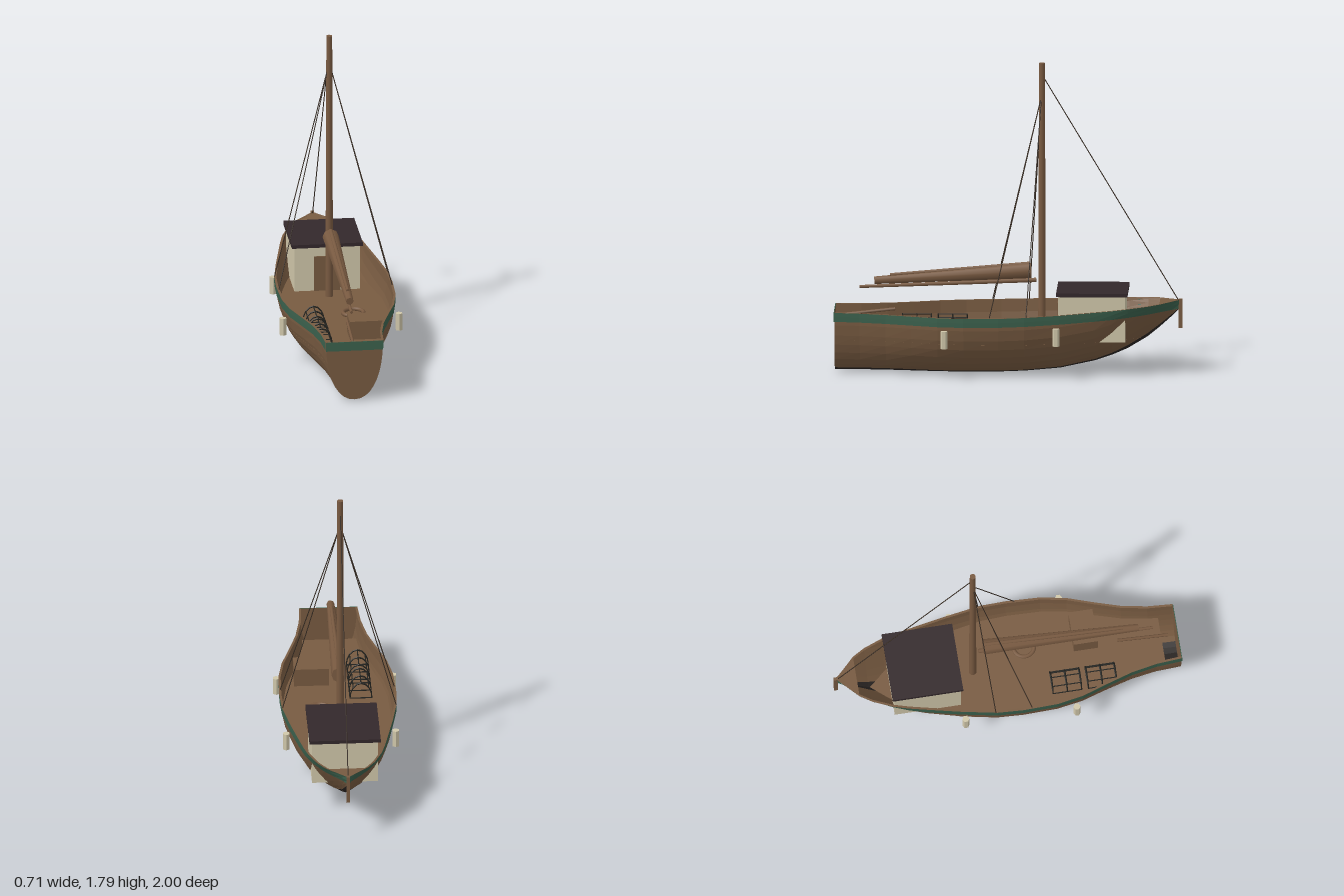
import * as THREE from 'three';

const mat = (name, color, flatShading = true, side = THREE.FrontSide) => {
  const m = new THREE.MeshStandardMaterial({ color, flatShading, side });
  m.name = name;
  return m;
};

// Hull stations: z, half beam, keel height, sheer height, roundness (2.2 = full, 1 = V)
const STATIONS = [
  [0.996, 0.165, 0.006, 0.36, 2.2], [0.85, 0.175, 0.006, 0.358, 2.2], [0.7, 0.203, 0.005, 0.356, 2.2],
  [0.55, 0.25, 0.003, 0.355, 2.2], [0.4, 0.3, 0.001, 0.355, 2.2], [0.25, 0.327, 0, 0.356, 2.2],
  [0.05, 0.334, 0.002, 0.359, 2.2], [-0.1, 0.328, 0.008, 0.364, 2.2], [-0.3, 0.293, 0.025, 0.372, 2.15],
  [-0.5, 0.252, 0.066, 0.383, 1.95], [-0.6, 0.231, 0.098, 0.389, 1.65], [-0.69, 0.208, 0.138, 0.396, 1.35],
  [-0.8, 0.163, 0.205, 0.404, 1.1], [-0.87, 0.12, 0.262, 0.41, 1], [-0.94, 0.048, 0.325, 0.415, 1],
  [-0.985, 0.004, 0.37, 0.419, 1],
];

// Half width of a station's rounded section at height y
function halfWidth([, w, keel, sheer, p], y) {
  const t = THREE.MathUtils.clamp((y - keel) / (sheer - keel), 0, 1);
  return w * Math.pow(1 - Math.pow(1 - t, p), 1 / p);
}

// Full section from the left rim, under the keel, to the right rim
const N = 9;
function section([z, w, keel, sheer, p]) {
  const pts = [];
  for (let i = -N; i <= N; i++) {
    const a = (Math.abs(i) / N) * Math.PI / 2;
    const x = w * Math.pow(Math.sin(a), 2 / p) * -Math.sign(i);
    const y = keel + (sheer - keel) * (1 - Math.pow(Math.max(Math.cos(a), 0), 2 / p));
    pts.push([x, y, z]);
  }
  return pts;
}

// Skin between successive rows of points
function loft(rows) {
  const pos = [];
  for (let i = 0; i < rows.length - 1; i++) {
    for (let j = 0; j < rows[i].length - 1; j++) {
      const a = rows[i][j], b = rows[i][j + 1], c = rows[i + 1][j], d = rows[i + 1][j + 1];
      pos.push(...a, ...b, ...c, ...b, ...d, ...c);
    }
  }
  const g = new THREE.BufferGeometry();
  g.setAttribute('position', new THREE.Float32BufferAttribute(pos, 3));
  g.computeVertexNormals();
  return g;
}

export function createModel() {
  const model = new THREE.Group();
  model.name = 'sailingBoat';
  const wood = mat('hull wood', 0x785b41, true, THREE.DoubleSide);
  const spar = mat('spar wood', 0x795a41, false);
  const tar = mat('tarred bottom', 0x2a2523, true, THREE.DoubleSide);
  const green = mat('green paint', 0x3b614d, true, THREE.DoubleSide);
  const cream = mat('cream paint', 0xd0c7aa);
  const dark = mat('dark roof', 0x33282b);
  const wire = mat('black wire', 0x23231f);
  const rope = mat('rigging rope', 0x382d24);

  const add = (name, geo, material, x = 0, y = 0, z = 0, parent = model) => {
    const m = new THREE.Mesh(geo, material);
    m.name = name;
    m.position.set(x, y, z);
    parent.add(m);
    return m;
  };
  const box = (name, material, [x0, x1], [y0, y1], [z0, z1]) =>
    add(name, new THREE.BoxGeometry(x1 - x0, y1 - y0, z1 - z0), material,
      (x0 + x1) / 2, (y0 + y1) / 2, (z0 + z1) / 2);
  // Tapered rod between two points
  const rod = (name, material, a, b, ra, rb = ra, sides = 8, parent = model) => {
    const A = new THREE.Vector3(...a), B = new THREE.Vector3(...b);
    const dir = B.clone().sub(A);
    const m = add(name, new THREE.CylinderGeometry(rb, ra, dir.length(), sides), material, 0, 0, 0, parent);
    m.position.copy(A).add(B).multiplyScalar(0.5);
    m.quaternion.setFromUnitVectors(new THREE.Vector3(0, 1, 0), dir.normalize());
  };

  // Hull sides, tarred bottom and flat transom
  const sections = STATIONS.map(section);
  const hullPart = (name, material, from, to) =>
    add(name, loft(sections.map((row) => row.slice(from, to + 1))), material);
  hullPart('leftHullSide', wood, 0, N - 2);
  hullPart('hullBottom', tar, N - 2, N + 2);
  hullPart('rightHullSide', wood, N + 2, 2 * N);
  const transom = new THREE.Shape(sections[0].map(([x, y]) => new THREE.Vector2(x, y)));
  add('transom', new THREE.ShapeGeometry(transom), wood, 0, 0, 0.996);
  box('transomBand', green, [-0.165, 0.165], [0.306, 0.36], [0.997, 1]);

  // Painted sheer strake and rim on both sides
  for (const s of [1, -1]) {
    const side = s > 0 ? 'left' : 'right';
    const strip = (name, material, profile) => add(name, loft(STATIONS.map((st) => {
      const row = profile(st).map(([x, y]) => [s * Math.max(x, 0), y, st[0]]);
      return s > 0 ? row : row.reverse();
    })), material);
    strip(side + 'SheerStrake', green, (st) => [0, 0.025, 0.052].map((d) =>
      [halfWidth(st, st[3] - d) + 0.003, st[3] - d]));
    strip(side + 'Rim', wood, (st) => [[st[1] + 0.003, st[3] + 0.001], [st[1] - 0.01, st[3] + 0.001]]);
  }

  // Deck follows the inside of the hull
  const DECK = 0.2;
  const deckStations = [[0.91, 0.17, 0.006, 0.359, 2.2], ...STATIONS.slice(1, 12),
    [-0.75, 0.184, 0.174, 0.4, 1.22], [-0.79, 0.167, 0.199, 0.403, 1.12]];
  add('deck', loft(deckStations.map((st) => [-1, 1].map((s) => [s * halfWidth(st, DECK), DECK, st[0]]))), wood);
  add('endDeck', loft(STATIONS.slice(13).map((st) => [-1, 1].map((s) => [s * st[1], st[3] - 0.004, st[0]]))), wood);
  box('stemPost', wood, [-0.009, 0.009], [0.255, 0.425], [-1, -0.978]);

  // Cabin
  box('cabin', cream, [-0.19, 0.19], [DECK, 0.466], [-0.677, -0.29]);
  box('cabinRoof', dark, [-0.205, 0.205], [0.465, 0.486], [-0.69, -0.28]);
  box('cabinDoor', wood, [-0.076, 0.076], [DECK, 0.41], [-0.291, -0.284]);

  // Mast, boom, furled sail, gaff and tiller
  rod('mast', spar, [0, DECK, -0.193], [0, 1.795, -0.193], 0.022, 0.017, 12);
  rod('boom', spar, [0, 0.53, -0.16], [0, 0.486, 0.855], 0.013, 0.009);
  rod('furledSail', spar, [0, 0.587, -0.13], [0, 0.523, 0.77], 0.047, 0.022);
  rod('gaff', spar, [0, 0.624, -0.125], [0, 0.555, 0.68], 0.013, 0.01);
  rod('tiller', spar, [0, 0.358, 0.65], [0, 0.325, 0.94], 0.009, 0.009, 6);

  // Rigging
  rod('endStay', rope, [0, 1.715, -0.2], [0, 0.42, -0.975], 0.003, 0.003, 5);
  for (const s of [1, -1])
    for (const z of [0.1, -0.11])
      rod('shroud', rope, [s * 0.008, 1.6, -0.19], [s * 0.328, 0.362, z], 0.003, 0.003, 5);

  // Fenders
  for (const s of [1, -1])
    for (const [x, y, z] of [[0.315, 0.248, -0.283], [0.336, 0.234, 0.36]])
      add('fender', new THREE.CylinderGeometry(0.021, 0.021, 0.102, 6), cream, s * x, y, z);

  // Deck gear: crate and coiled rope
  box('crate', wood, [0.03, 0.23], [DECK, 0.31], [0.4, 0.54]);
  add('ropeCoil', new THREE.TorusGeometry(0.06, 0.012, 8, 24).rotateX(Math.PI / 2), spar, 0.1, 0.21, 0.12);

  // Wire fishing pots with arched tops
  for (const zc of [0.325, 0.53]) {
    const pot = new THREE.Group();
    pot.name = 'fishingPot';
    pot.position.set(-0.145, DECK + 0.005, zc);
    model.add(pot);
    for (const z of [-0.083, 0, 0.083]) {
      add('hoop', new THREE.TorusGeometry(0.063, 0.0035, 5, 8, Math.PI).scale(1, 1.55, 1), wire, 0, 0, z, pot);
      rod('crossBar', wire, [-0.063, 0, z], [0.063, 0, z], 0.0035, 0.0035, 5, pot);
    }
    for (let i = 0; i <= 4; i++) {
      const a = (i / 4) * Math.PI, x = 0.063 * Math.cos(a), y = 0.098 * Math.sin(a);
      rod('longBar', wire, [x, y, -0.085], [x, y, 0.085], 0.0035, 0.0035, 5, pot);
    }
  }
  return model;
}
